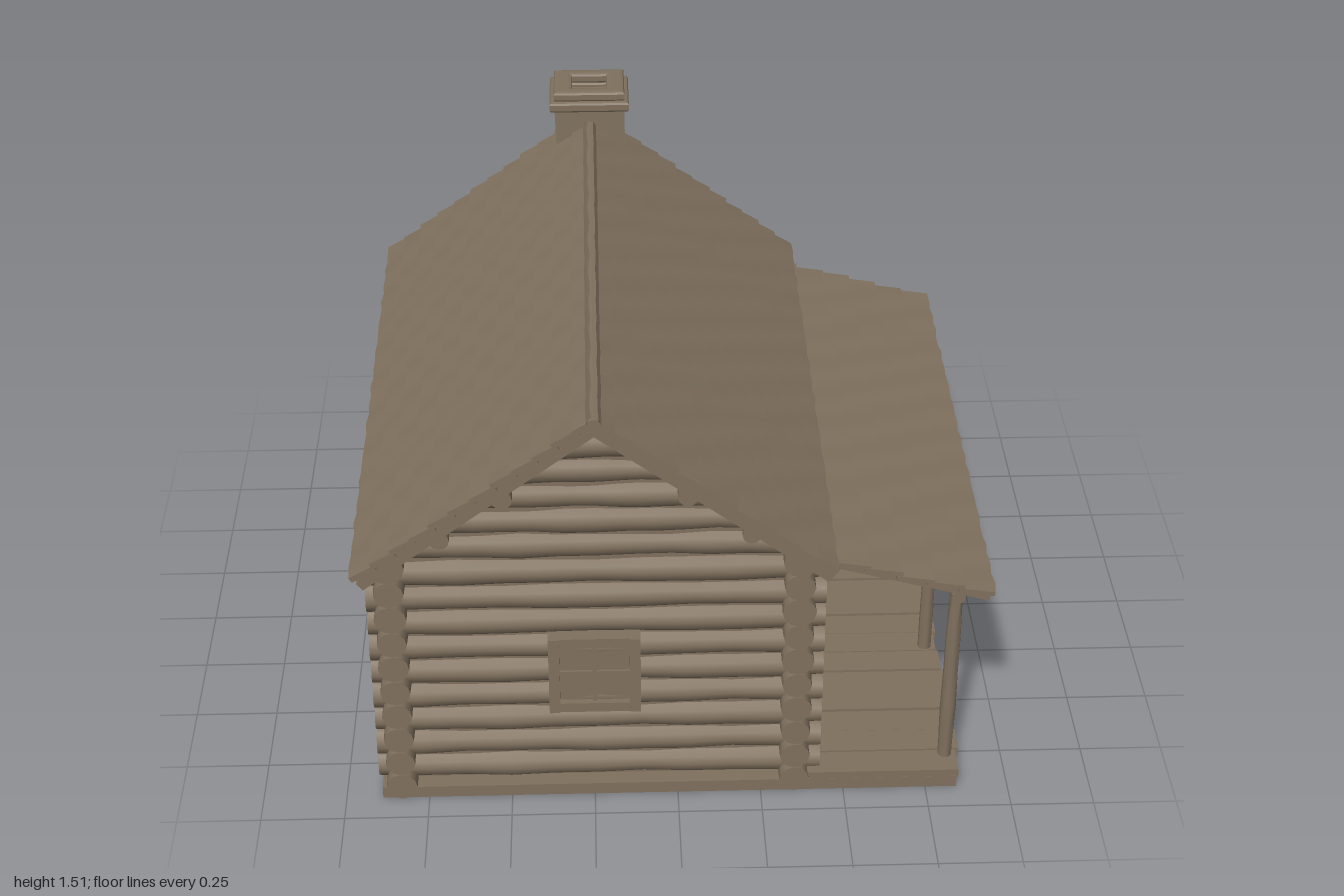
import * as THREE from 'three';
import { toCreasedNormals } from 'three/addons/utils/BufferGeometryUtils.js';

const wood = new THREE.MeshStandardMaterial({ color: 0x80715e });
wood.name = 'weathered brown';

const RIDGE_X = -0.235, RIDGE_Y = 1.4, EAVE_Y = 0.875, SLOPE = 0.77;
const WALL_L = -0.83, WALL_R = 0.35, WALL_F = 0.84, WALL_B = -0.79;

function add(parent, name, geometry) {
  const mesh = new THREE.Mesh(geometry, wood);
  mesh.name = name;
  parent.add(mesh);
  return mesh;
}

function group(parent, name) {
  const g = new THREE.Group();
  g.name = name;
  parent.add(g);
  return g;
}

// Axis-aligned box given by its limits
function block(parent, name, x0, x1, y0, y1, z0, z1) {
  const m = add(parent, name, new THREE.BoxGeometry(x1 - x0, y1 - y0, z1 - z0));
  m.position.set((x0 + x1) / 2, (y0 + y1) / 2, (z0 + z1) / 2);
  return m;
}

// Slightly uneven round log between two points
function log(parent, name, from, to, radius) {
  const a = new THREE.Vector3(...from), b = new THREE.Vector3(...to);
  const dir = b.clone().sub(a), length = dir.length();
  const geo = new THREE.CylinderGeometry(radius, radius, length, 12, 10);
  const p = geo.attributes.position, seed = a.y * 37 + a.x * 11 + a.z * 5;
  for (let i = 0; i < p.count; i++) {
    const y = p.getY(i);
    const s = 1 + 0.06 * Math.sin(y * 9 + seed) + 0.04 * Math.sin(y * 23 + seed * 2);
    p.setX(i, p.getX(i) * s);
    p.setZ(i, p.getZ(i) * s);
  }
  const m = add(parent, name, toCreasedNormals(geo, 0.9));
  m.position.copy(a).add(b).multiplyScalar(0.5);
  m.quaternion.setFromUnitVectors(new THREE.Vector3(0, 1, 0), dir.normalize());
}

// Roof plane of overlapping, slightly uneven rows from top edge to eave
function shingles(parent, name, x0, y0, x1, y1, z0, z1, rows, thick) {
  const g = group(parent, name);
  const length = Math.hypot(x1 - x0, y1 - y0), step = length / rows;
  const side = Math.sign(x1 - x0), angle = Math.atan2(y1 - y0, Math.abs(x1 - x0));
  const plane = group(g, 'slope');
  plane.position.set(x0, y0, (z0 + z1) / 2);
  plane.rotation.set(0, side > 0 ? 0 : Math.PI, angle, 'ZYX');
  if (side < 0) plane.rotation.z = -angle;
  const deck = add(plane, 'roofDeck', new THREE.BoxGeometry(length - 0.02, thick, z1 - z0 - 0.02));
  deck.position.set(length / 2, -thick * 1.1, 0);
  for (let r = 0; r < rows; r++) {
    const geo = new THREE.BoxGeometry(step * 1.15, thick * 0.7, z1 - z0, 1, 1, 36);
    const p = geo.attributes.position;
    for (let i = 0; i < p.count; i++) {
      const k = Math.round(p.getZ(i) * 20);
      p.setY(i, p.getY(i) + 0.002 * Math.sin(k * 1.7 + r * 2.3));
      if (p.getX(i) > 0) p.setX(i, p.getX(i) + 0.003 * Math.sin(k * 2.9 + r));
    }
    const row = add(plane, 'shingleRow', toCreasedNormals(geo, 0.6));
    row.position.set((r + 0.5) * step - step * 0.07, -thick * 0.35, 0);
    row.rotation.z = 0.12;
  }
}

// Window or door casing facing +z around its own centre
function casing(g, w, h, t, d) {
  for (const s of [-1, 1]) {
    block(g, 'sideTrim', s * (w - t) / 2 - t / 2, s * (w - t) / 2 + t / 2, -h / 2, h / 2, -0.03, d);
    block(g, 'crossTrim', -w / 2, w / 2, s * (h - t) / 2 - t / 2, s * (h - t) / 2 + t / 2, -0.03, d - 0.004);
  }
}

function windowUnit(parent, x, y, z, turn) {
  const g = group(parent, 'window');
  g.position.set(x, y, z);
  g.rotation.y = turn;
  casing(g, 0.27, 0.27, 0.032, 0.025);
  block(g, 'pane', -0.12, 0.12, -0.12, 0.12, -0.03, 0.002);
  block(g, 'uprightBar', -0.007, 0.007, -0.11, 0.11, 0, 0.01);
  block(g, 'crossBar', -0.11, 0.11, -0.007, 0.007, 0, 0.009);
}

function buildWalls(model) {
  const walls = group(model, 'logWalls');
  // Solid core with gable ends behind the logs
  const s = new THREE.Shape([[WALL_L, 0.01], [WALL_R, 0.01], [WALL_R, 0.9], [RIDGE_X, 1.345], [WALL_L, 0.9]]
    .map(([x, y]) => new THREE.Vector2(x, y)));
  const core = new THREE.ExtrudeGeometry(s, { depth: WALL_F - WALL_B + 0.04, bevelEnabled: false });
  add(walls, 'wallCore', core).position.z = WALL_B - 0.02;
  for (let i = 0; i < 10; i++) {
    const y = 0.05 + i * 0.0895;
    for (const x of [WALL_L, WALL_R]) log(walls, 'sideLog', [x, y, -0.85], [x, y, 0.92], 0.046);
    const ye = y + 0.035;
    if (i < 9) for (const z of [WALL_F, WALL_B]) log(walls, 'endLog', [-0.9, ye, z], [0.43, ye, z], 0.046);
  }
  // Shorter logs filling the gables
  for (let y = 0.89; y < 1.26; y += 0.085) {
    const half = Math.min(0.64, (1.31 - y) / SLOPE);
    for (const z of [WALL_F - 0.005, WALL_B + 0.005])
      log(walls, 'gableLog', [RIDGE_X - half, y, z], [RIDGE_X + half, y, z], 0.046);
  }
  // Purlins poking out under the roof
  for (const s2 of [-1, 1]) for (const [dx, y] of [[0.26, 1.11], [0.44, 0.975]])
    log(walls, 'purlin', [RIDGE_X + s2 * dx, y, -0.89], [RIDGE_X + s2 * dx, y, 0.95], 0.027);

  windowUnit(walls, -0.245, 0.45, WALL_F + 0.045, 0);
  for (const z of [0.515, -0.445]) windowUnit(walls, WALL_R + 0.045, 0.455, z, Math.PI / 2);
  for (const z of [0.5, -0.47]) windowUnit(walls, WALL_L - 0.045, 0.455, z, -Math.PI / 2);
}

function buildDoor(model) {
  const g = group(model, 'door');
  g.position.set(WALL_R + 0.045, 0.35, 0.045);
  g.rotation.y = Math.PI / 2;
  casing(g, 0.39, 0.58, 0.04, 0.025);
  for (let i = 0; i < 4; i++) {
    const x = -0.155 + i * 0.0785;
    block(g, 'doorPlank', x, x + 0.075, -0.27, 0.27, -0.03, 0.004);
  }
  for (const y of [-0.21, 0.18]) block(g, 'doorBatten', -0.14, 0.14, y - 0.02, y + 0.02, 0, 0.016);
  const brace = block(g, 'doorBrace', -0.215, 0.215, -0.02, 0.02, 0, 0.014);
  brace.position.y = -0.015;
  brace.rotation.z = 0.93;
}

function buildRoof(model) {
  const roof = group(model, 'mainRoof');
  shingles(roof, 'rightSlope', RIDGE_X, RIDGE_Y, 0.45, EAVE_Y - 0.005, -0.92, 0.985, 12, 0.026);
  shingles(roof, 'leftSlope', RIDGE_X, RIDGE_Y, -0.93, EAVE_Y, -0.92, 0.985, 12, 0.026);
  log(roof, 'ridgeCap', [RIDGE_X, 1.383, -0.9], [RIDGE_X, 1.383, 0.998], 0.019);
  // Rafters along the gable edges
  for (const z of [-0.9, 0.96]) for (const s of [-1, 1]) {
    const b = add(roof, 'bargeBoard', new THREE.BoxGeometry(0.84, 0.03, 0.025));
    b.position.set(RIDGE_X + s * 0.335, 1.093, z);
    b.rotation.z = -s * Math.atan(0.765);
  }
}

function buildPorch(model) {
  const porch = group(model, 'porch');
  block(porch, 'foundation', -0.89, 0.845, 0, 0.04, -0.84, 0.91);
  // Floor planks run out from the wall
  for (let i = 0; i < 18; i++) {
    const z = -0.84 + i * 0.0975;
    block(porch, 'floorPlank', 0.36, 0.855 + 0.006 * Math.sin(i * 2.1), 0.035, 0.064 + 0.003 * Math.sin(i * 3.7), z, z + 0.092);
  }
  for (const z of [0.83, 0.3, -0.215, -0.75]) {
    log(porch, 'post', [0.815, 0.05, z], [0.815, 0.71, z], 0.022);
  }
  log(porch, 'postBeam', [0.815, 0.69, -0.8], [0.815, 0.69, 0.88], 0.021);
  for (const z of [0.83, 0.57, 0.3, 0.04, -0.215, -0.48, -0.75])
    log(porch, 'rafter', [0.37, 0.815, z], [0.87, 0.69, z], 0.017);
  shingles(porch, 'porchRoof', 0.37, 0.862, 0.92, 0.708, -0.83, 0.89, 6, 0.02);
}

function buildChimney(model) {
  const chimney = group(model, 'chimney');
  // Rectangular cross-sections: height, left, right, back, front
  const rings = [
    [0, -0.43, -0.04, -0.99, -0.78], [0.25, -0.435, -0.03, -0.995, -0.78], [0.5, -0.43, -0.035, -0.99, -0.78],
    [0.67, -0.345, -0.12, -0.98, -0.79], [1.0, -0.345, -0.12, -0.975, -0.8], [1.3, -0.345, -0.12, -0.98, -0.81],
    [1.465, -0.35, -0.12, -0.98, -0.815],
  ];
  const n = rings.length - 1;
  const geo = new THREE.BoxGeometry(1, 1, 1, 1, n, 1), p = geo.attributes.position;
  for (let i = 0; i < p.count; i++) {
    const [y, l, r, b, f] = rings[Math.round((p.getY(i) + 0.5) * n)];
    p.setXYZ(i, p.getX(i) < 0 ? l : r, y, p.getZ(i) < 0 ? b : f);
  }
  add(chimney, 'chimneyStack', toCreasedNormals(geo, 0.4));
  // Open cap in two courses
  const rect = (C, w, h) => new C([[-w, -h], [w, -h], [w, h], [-w, h]].map(([x, y]) => new THREE.Vector2(x, y)));
  for (const [w, h, y, depth] of [[0.118, 0.093, 1.452, 0.02], [0.104, 0.08, 1.485, 0.018]]) {
    const s = rect(THREE.Shape, w, h);
    s.holes.push(rect(THREE.Path, 0.068, 0.062));
    const cap = add(chimney, 'chimneyCap', new THREE.ExtrudeGeometry(s,
      { depth, bevelSize: 0.012, bevelThickness: 0.008, bevelSegments: 2 }));
    cap.rotation.x = -Math.PI / 2;
    cap.position.set(-0.235, y, -0.893);
  }
}

export function createModel() {
  const model = new THREE.Group();
  model.name = 'logCabin';
  buildWalls(model);
  buildDoor(model);
  buildRoof(model);
  buildPorch(model);
  buildChimney(model);
  return model;
}
